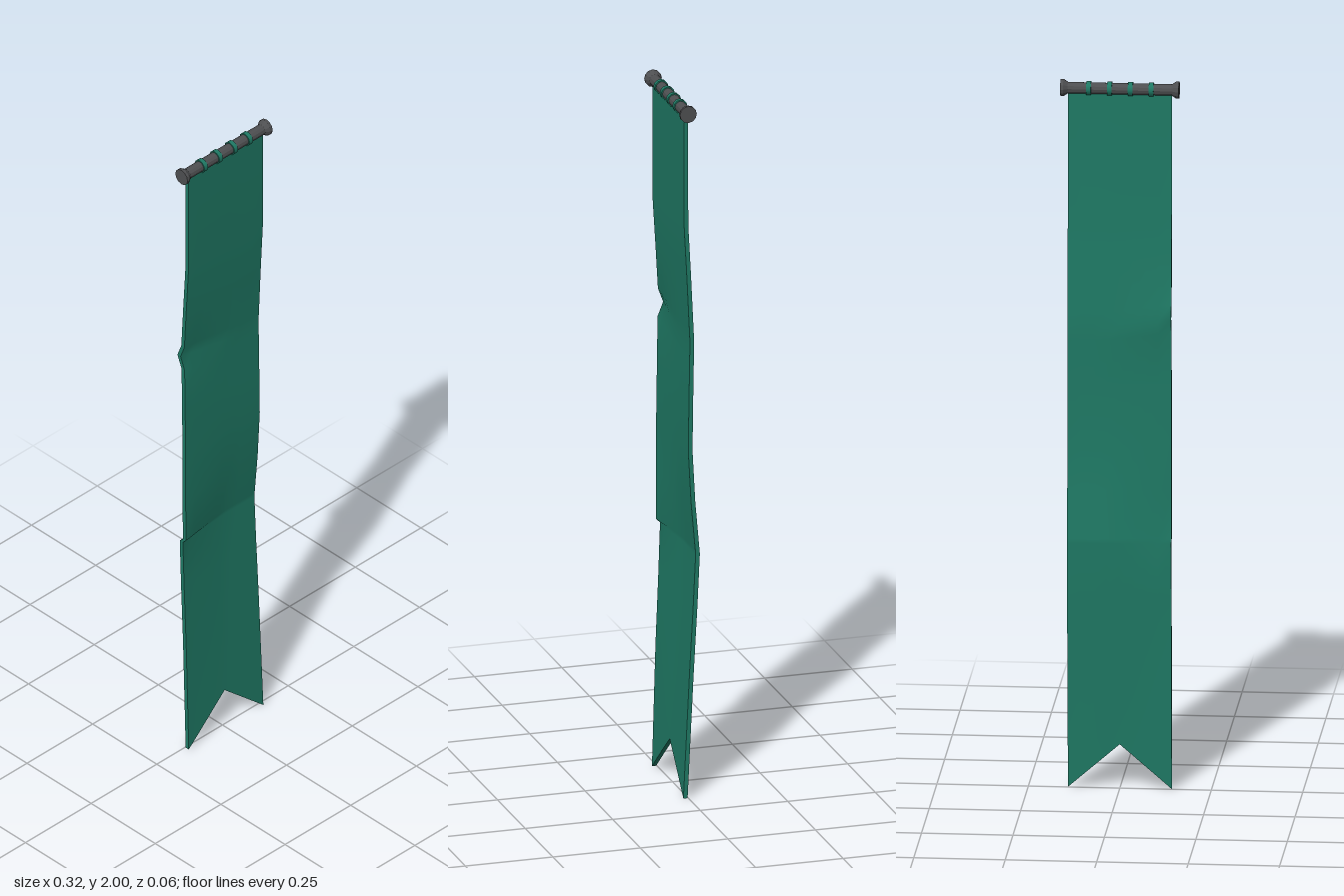
import * as THREE from 'three';

const HALF = 0.142, THICK = 0.012, ROD_Y = 1.976, ROD_Z = 0.006;

// Hanging profile per row: height, depth at the right edge (-x), depth at the left part (+x)
const ROWS = [
  [1.975, 0.007, 0.007], [1.65, 0.007, 0.006], [1.5, -0.002, -0.002],
  [1.375, -0.009, -0.009], [1.335, -0.024, -0.011], [1.295, -0.008, -0.01],
  [1.15, -0.006, -0.008], [1.0, -0.004, -0.006], [0.85, -0.004, -0.014],
  [0.712, -0.003, -0.026], [0.7, -0.015, -0.027], [0.55, -0.01, -0.02],
  [0.35, -0.002, -0.009], [0, 0.008, 0.008],
];

// Depth of the cloth at a height, right or left profile
function depthAt(y, side) {
  for (let i = 0; i < ROWS.length - 1; i++) {
    const a = ROWS[i], b = ROWS[i + 1];
    if (y >= b[0]) return THREE.MathUtils.lerp(b[side], a[side], (y - b[0]) / (a[0] - b[0]));
  }
  return ROWS[ROWS.length - 1][side];
}

// Thin slab draped along the profile, with a swallowtail lower edge
function clothGeometry() {
  const n = ROWS.length - 1;
  const geo = new THREE.BoxGeometry(2 * HALF, n, THICK, 8, n, 1);
  const p = geo.attributes.position;
  for (let i = 0; i < p.count; i++) {
    const x = p.getX(i);
    const row = Math.round(n / 2 - p.getY(i));
    let y = ROWS[row][0];
    if (row === n) y = 0.125 * (1 - Math.abs(x) / HALF);
    // folds fade out from the right edge towards the middle
    const t = THREE.MathUtils.clamp((x + HALF) / 0.17, 0, 1);
    const z = THREE.MathUtils.lerp(depthAt(y, 1), depthAt(y, 2), t);
    // the upper fold slopes down towards the middle
    if (row >= 3 && row <= 5) y -= 0.025 * t;
    p.setXYZ(i, x, y, p.getZ(i) + z);
  }
  geo.computeVertexNormals();
  return geo;
}

export function createModel() {
  const group = new THREE.Group();
  const green = new THREE.MeshStandardMaterial({ color: 0x1f7a65 });
  green.name = 'green cloth';
  const grey = new THREE.MeshStandardMaterial({ color: 0x4e4f51, flatShading: true });
  grey.name = 'dark grey metal';

  const cloth = new THREE.Mesh(clothGeometry(), green);
  cloth.name = 'bannerCloth';
  group.add(cloth);

  // Rod with flared end caps, turned as one profile
  const profile = [[0, -0.162], [0.024, -0.162], [0.024, -0.154], [0.016, -0.142],
    [0.016, 0.142], [0.024, 0.154], [0.024, 0.162], [0, 0.162]];
  const rod = new THREE.Mesh(
    new THREE.LatheGeometry(profile.map(([r, h]) => new THREE.Vector2(r, h)), 12), grey);
  rod.name = 'rod';
  rod.rotation.z = Math.PI / 2;
  rod.position.set(0, ROD_Y, ROD_Z);
  group.add(rod);

  // Cloth loops around the rod
  for (let i = 0; i < 4; i++) {
    const loop = new THREE.Mesh(new THREE.CylinderGeometry(0.0195, 0.0195, 0.013, 12), green);
    loop.name = 'loop' + (i + 1);
    loop.rotation.z = Math.PI / 2;
    loop.position.set(-0.086 + i * 0.057, ROD_Y, ROD_Z);
    group.add(loop);
  }
  return group;
}
